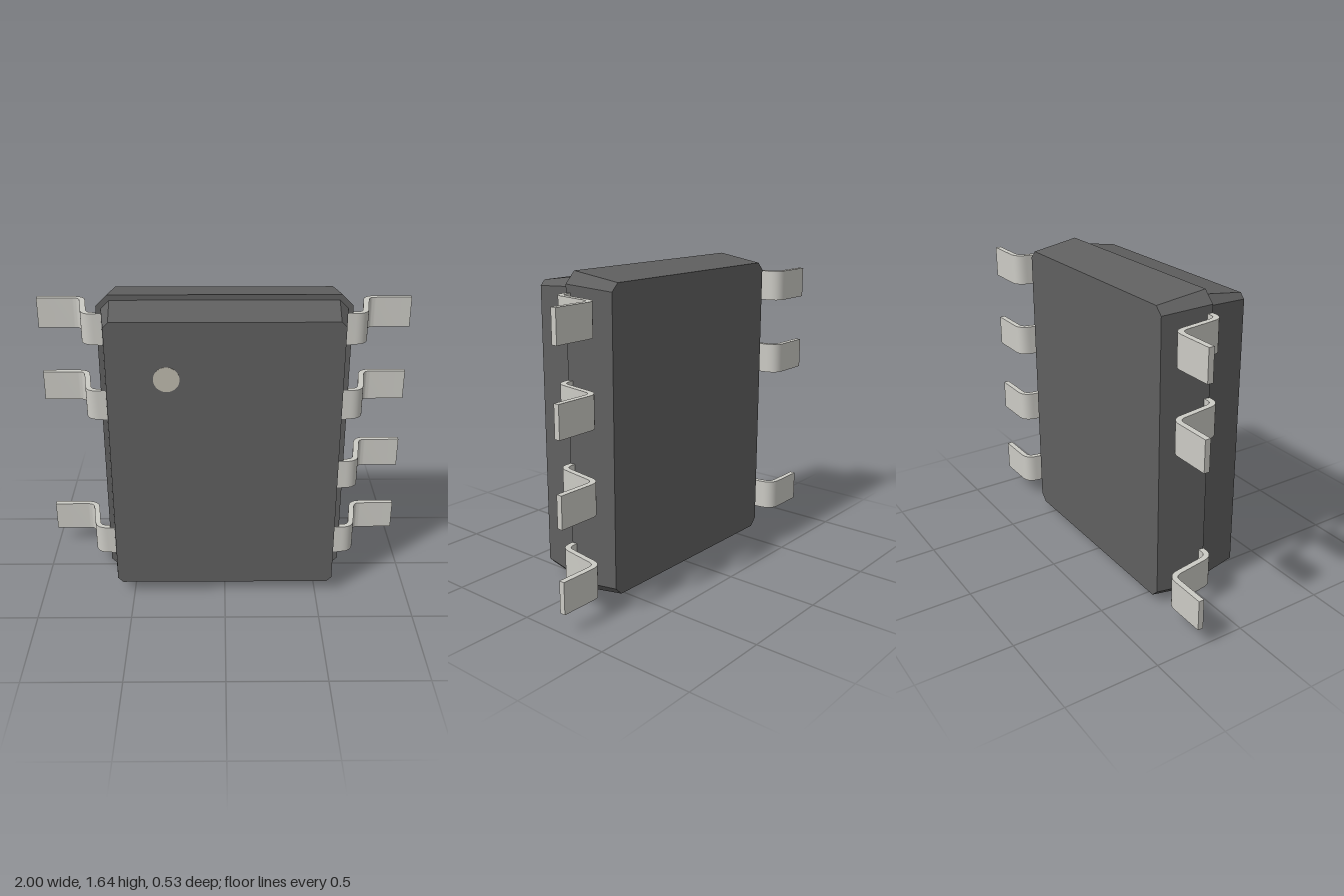
import * as THREE from 'three';
import { ConvexGeometry } from 'three/addons/geometries/ConvexGeometry.js';
import { toCreasedNormals } from 'three/addons/utils/BufferGeometryUtils.js';

const MID_Y = 0.818;
const SPLIT_Z = 0.028;

// Rectangle with cut corners, centred on the package
function octagon(halfW, halfH, cut, z) {
  const points = [];
  for (const sx of [-1, 1]) for (const sy of [-1, 1]) {
    points.push(new THREE.Vector3(sx * (halfW - cut), MID_Y + sy * halfH, z));
    points.push(new THREE.Vector3(sx * halfW, MID_Y + sy * (halfH - cut), z));
  }
  return points;
}

// Bent strip: centre line in x and z, thickened and extruded along y
function leadGeometry(side, thickness, width) {
  const corners = [[0.55, 0.016], [0.717, 0.016], [0.759, -0.252], [1, -0.252]]
    .map(([x, z]) => new THREE.Vector2(x, -z));
  const [a, b, c, d] = corners;
  const toward = (p, q, dist) => p.clone().add(q.clone().sub(p).setLength(dist));
  const r = 0.05;
  const bends = [[a, b, c], [b, c, d]].map(([p, q, s]) =>
    new THREE.QuadraticBezierCurve(toward(q, p, r), q, toward(q, s, r)));
  const front = [], back = [];
  const add = (p, t) => {
    const n = new THREE.Vector2(-t.y, t.x).multiplyScalar(thickness / 2);
    front.push(p.clone().add(n));
    back.unshift(p.clone().sub(n));
  };
  add(a, new THREE.Vector2(1, 0));
  for (const bend of bends)
    for (let i = 0; i <= 8; i++) add(bend.getPoint(i / 8), bend.getTangent(i / 8));
  add(d, new THREE.Vector2(1, 0));
  const outline = [...front, ...back].map(p => new THREE.Vector2(side * p.x, p.y));
  const geometry = new THREE.ExtrudeGeometry(new THREE.Shape(outline), { depth: width, bevelEnabled: false });
  geometry.translate(0, 0, -width / 2);
  geometry.rotateX(-Math.PI / 2);
  return toCreasedNormals(geometry, 0.5);
}

export function createModel() {
  const group = new THREE.Group();
  const bodyMaterial = new THREE.MeshStandardMaterial({ color: 0x606060 });
  const leadMaterial = new THREE.MeshStandardMaterial({ color: 0xcccbc5 });
  const dotMaterial = new THREE.MeshStandardMaterial({ color: 0xbfbaad });

  const add = (name, geometry, material) => {
    const mesh = new THREE.Mesh(geometry, material);
    mesh.name = name;
    group.add(mesh);
    return mesh;
  };

  // Two tapered halves meeting at a stepped parting line
  add('frontBody', new ConvexGeometry([
    ...octagon(0.625, 0.79, 0.045, SPLIT_Z), ...octagon(0.59, 0.755, 0.027, 0.265)]), bodyMaterial);
  add('backBody', new ConvexGeometry([
    ...octagon(0.65, MID_Y, 0.058, SPLIT_Z), ...octagon(0.615, 0.78, 0.04, -0.235)]), bodyMaterial);

  // Orientation dot
  const dot = add('orientationDot', new THREE.CylinderGeometry(0.066, 0.066, 0.004, 48), dotMaterial);
  dot.rotation.x = Math.PI / 2;
  dot.position.set(-0.29, 1.276, 0.265);

  // Four leads on the left, three on the right
  const rows = [0.185, 0.608, 1.031, 1.454];
  for (const side of [1, -1]) {
    const geometry = leadGeometry(side, 0.03, 0.165);
    rows.forEach((y, i) => {
      if (side < 0 && i === 1) return;
      add((side > 0 ? 'leftLead' : 'rightLead') + (i + 1), geometry, leadMaterial).position.y = y;
    });
  }
  return group;
}
